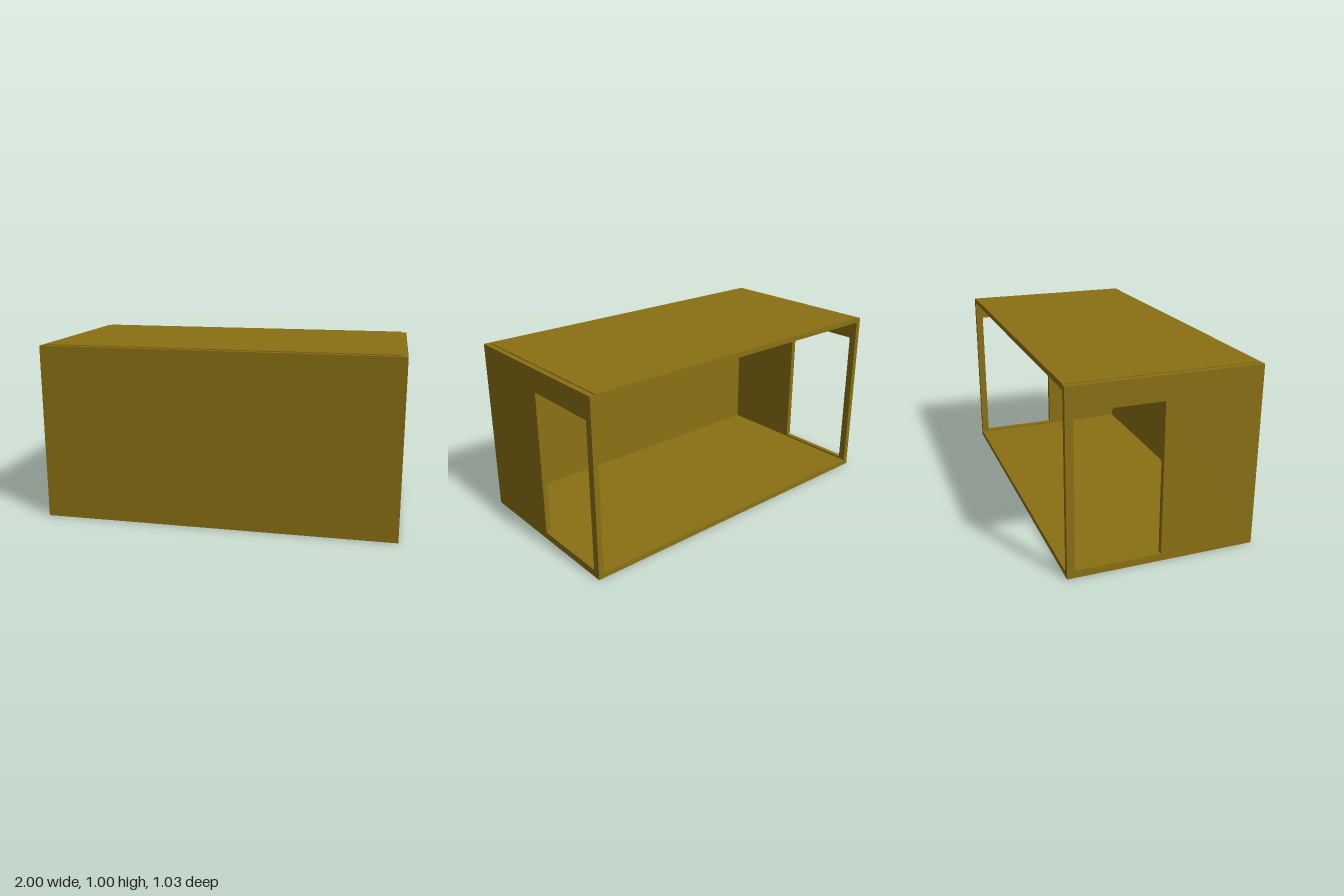
import * as THREE from 'three';

const W = 1, D = 0.517, H = 1.0, T = 0.03; // half width, half depth, wall height, thickness

export function createModel() {
  const model = new THREE.Group();
  model.name = 'openBackedRoom';
  const material = new THREE.MeshStandardMaterial({ color: 0x8a7014, flatShading: true });

  const add = (name, geometry) => {
    const mesh = new THREE.Mesh(geometry, material);
    mesh.name = name;
    model.add(mesh);
    return mesh;
  };
  // Box panel given by its minimum and maximum corners
  const panel = (name, [x0, y0, z0], [x1, y1, z1]) =>
    add(name, new THREE.BoxGeometry(x1 - x0, y1 - y0, z1 - z0))
      .position.set((x0 + x1) / 2, (y0 + y1) / 2, (z0 + z1) / 2);

  // Floor, slightly raised roof, and solid front wall; the back stays open
  panel('floor', [-W + T, 0, -D], [W - T, T, D - T]);
  panel('roof', [-W + T, H - T + 0.005, -D], [W - T, H + 0.005, D - T]);
  panel('frontWall', [-W + T, 0, D - T], [W - T, H, D]);

  // Side walls with a doorway; shape x runs along -z
  const wall = new THREE.Shape([
    [-D, 0], [D, 0], [D, H], [-D, H],
  ].map(([a, b]) => new THREE.Vector2(a, b)));
  wall.holes.push(new THREE.Path([
    [0.012, 0.04], [0.012, 0.87], [0.475, 0.87], [0.475, 0.04],
  ].map(([a, b]) => new THREE.Vector2(a, b))));
  const wallGeometry = new THREE.ExtrudeGeometry(wall, { depth: T, bevelEnabled: false });
  wallGeometry.rotateY(Math.PI / 2);

  for (const [name, x] of [['leftWall', W - T], ['rightWall', -W]]) {
    add(name, wallGeometry).position.x = x;
  }
  return model;
}
